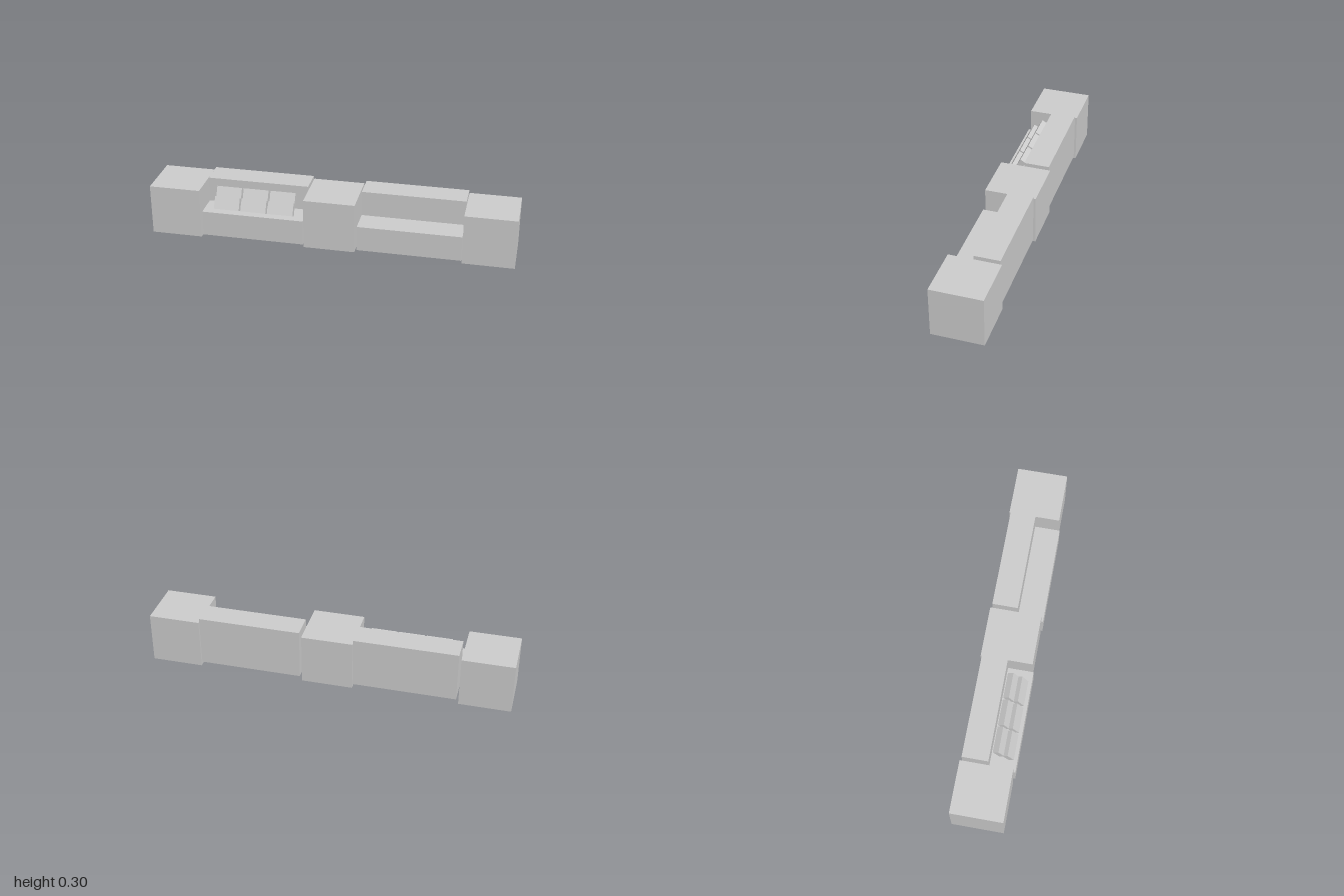
import * as THREE from 'three';

const grey = new THREE.MeshStandardMaterial({ color: 0xcccccc, flatShading: true });

// Mesh of a polygon given as [z, y] points, swept along x and centred at x
function sweep(name, points, x, width) {
  const shape = new THREE.Shape(points.map(([z, y]) => new THREE.Vector2(-z, y)));
  const geometry = new THREE.ExtrudeGeometry(shape, { depth: width, bevelEnabled: false });
  geometry.translate(0, 0, -width / 2).rotateY(Math.PI / 2);
  geometry.translate(x, 0, 0);
  const mesh = new THREE.Mesh(geometry, grey);
  mesh.name = name;
  return mesh;
}

export function createModel() {
  const model = new THREE.Group();
  model.name = 'planterBench';

  // Three cube pillars
  const size = 0.281;
  for (const [name, x] of [['rightPillar', -0.86], ['middlePillar', 0], ['leftPillar', 0.86]]) {
    const pillar = new THREE.Mesh(new THREE.BoxGeometry(size, size, size), grey);
    pillar.name = name;
    pillar.position.set(x, size / 2, -0.004);
    model.add(pillar);
  }

  // Stepped benches between the pillars: low front seat, raised back
  const step = [
    [0.145, 0.02], [0.145, 0.161], [0.004, 0.161],
    [0.004, 0.301], [-0.136, 0.301], [-0.136, 0.02],
  ];
  model.add(sweep('rightBench', step, -0.424, 0.563));
  model.add(sweep('leftBench', step, 0.436, 0.563));

  // Two overlapping rows of three tilted blocks resting on the right bench
  const blocks = new THREE.Group();
  blocks.name = 'tiltedBlocks';
  const height = 0.07, depth = 0.034, tilt = -Math.atan2(0.033, 0.062);
  for (const [row, topZ, topY] of [['front', 0.093, 0.238], ['back', 0.045, 0.277]]) {
    for (const x of [-0.574, -0.424, -0.273]) {
      // Shift the origin to the upper front edge, then lean backwards
      const geometry = new THREE.BoxGeometry(0.14, height, depth);
      geometry.translate(0, -height / 2, -depth / 2);
      const block = new THREE.Mesh(geometry, grey);
      block.name = row + 'Block';
      block.position.set(x, topY, topZ);
      block.rotation.x = tilt;
      blocks.add(block);
    }
  }
  model.add(blocks);
  return model;
}
